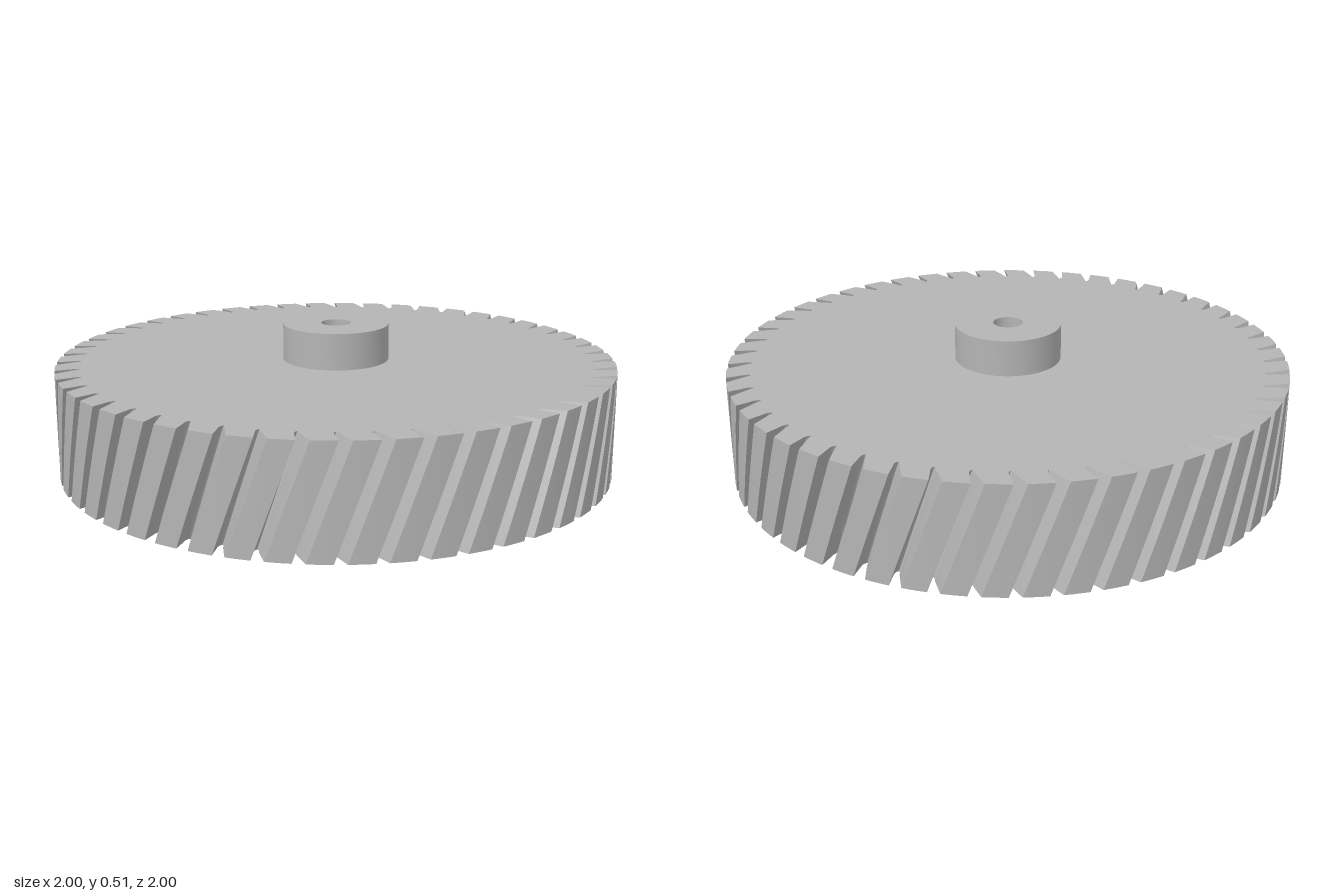
import * as THREE from 'three';
import { toCreasedNormals } from 'three/addons/utils/BufferGeometryUtils.js';

const TEETH = 50;
const HEIGHT = 0.385;
const HUB_TOP = 0.515;
const HUB_RADIUS = 0.19;
const BORE = 0.053;
const TWIST = 0.14; // helix turn from bottom to top, in radians

// Cross-section of one leaning slot: angle offset, radius
const SLOT = [
  [-0.021, 1], [-0.036, 0.932], [-0.035, 0.92], [-0.029, 0.913],
  [-0.022, 0.918], [-0.017, 0.932], [0.021, 1],
];

// Angle 0 faces the front and grows towards +x
const polar = (a, r) => new THREE.Vector2(r * Math.sin(a), -r * Math.cos(a));

function gearShape() {
  const points = [];
  const pitch = (Math.PI * 2) / TEETH;
  for (let i = 0; i < TEETH; i++) {
    const a = i * pitch;
    for (const [offset, r] of SLOT) points.push(polar(a + offset, r));
    // rounded land between this slot and the next
    for (let k = 1; k < 4; k++) points.push(polar(a + 0.021 + (pitch - 0.042) * k / 4, 1));
  }
  const shape = new THREE.Shape(points);
  const hole = new THREE.Path();
  hole.absarc(0, 0, BORE, 0, Math.PI * 2, true);
  shape.holes.push(hole);
  return shape;
}

// Extrude the section upright and turn each layer to form the helix
function helicalGear() {
  const g = new THREE.ExtrudeGeometry(gearShape(), {
    depth: HEIGHT, steps: 8, bevelEnabled: false, curveSegments: 32,
  });
  g.rotateX(-Math.PI / 2);
  const p = g.attributes.position;
  const v = new THREE.Vector3();
  const up = new THREE.Vector3(0, 1, 0);
  for (let i = 0; i < p.count; i++) {
    v.fromBufferAttribute(p, i);
    v.applyAxisAngle(up, TWIST * (v.y / HEIGHT - 1));
    p.setXYZ(i, v.x, v.y, v.z);
  }
  return toCreasedNormals(g, 0.6);
}

// Raised collar around the bore
function hubCollar() {
  const profile = [
    [HUB_RADIUS, HEIGHT], [HUB_RADIUS, HUB_TOP], [BORE, HUB_TOP], [BORE, HEIGHT],
  ].map(([r, y]) => new THREE.Vector2(r, y));
  return toCreasedNormals(new THREE.LatheGeometry(profile, 64), 0.6);
}

export function createModel() {
  const steel = new THREE.MeshStandardMaterial({ color: 0xb4b4b4 });
  steel.name = 'steelGrey';

  const model = new THREE.Group();
  model.name = 'helicalGear';
  const add = (name, geometry) => {
    const mesh = new THREE.Mesh(geometry, steel);
    mesh.name = name;
    model.add(mesh);
  };
  add('toothedDisc', helicalGear());
  add('hub', hubCollar());
  return model;
}
